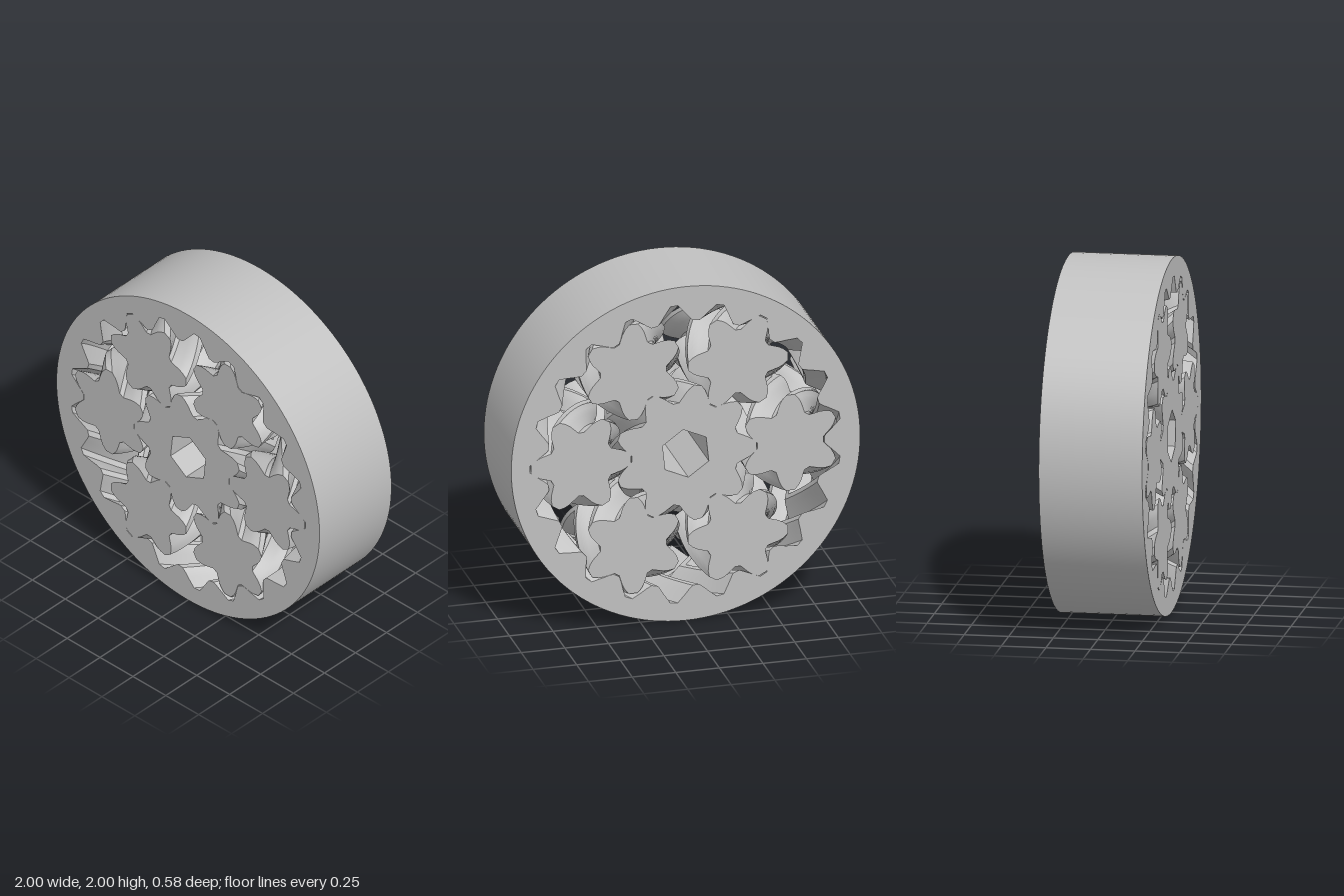
import * as THREE from 'three';
import { mergeGeometries, toCreasedNormals } from 'three/addons/utils/BufferGeometryUtils.js';

const HALF = 0.29;          // half thickness
const STEPS = 10;           // wall layers per half of the herringbone
const PLANETS = 6, ORBIT = 0.6;

// Regular polygon or circle, counter-clockwise
function polygon(radius, sides, phase = 0) {
  return Array.from({ length: sides }, (_, i) => {
    const a = phase + (i / sides) * Math.PI * 2;
    return new THREE.Vector2(radius * Math.cos(a), radius * Math.sin(a));
  });
}

// Gear outline: each tooth is [radius, offset in tooth pitches] across root, flank, tip
function gearOutline(teeth, root, pitch, tip, phase) {
  const half = [[root, 0.42], [pitch, 0.25], [(pitch + tip) / 2, 0.175], [tip, 0.08]];
  const tooth = [
    ...half.map(([r, u]) => [r, -u]),
    ...half.slice().reverse(),
  ];
  const points = [];
  for (let i = 0; i < teeth; i++) {
    for (const [r, u] of tooth) {
      const a = phase + ((i + u) / teeth) * Math.PI * 2;
      points.push(new THREE.Vector2(r * Math.cos(a), r * Math.sin(a)));
    }
  }
  return points;
}

// Side wall of an outline, twisted towards the middle plane and back again
function wall(points, twist = 0, inward = false) {
  const n = points.length, layers = twist ? STEPS * 2 : 1;
  const position = [], index = [];
  for (let k = 0; k <= layers; k++) {
    const z = -HALF + (2 * HALF * k) / layers;
    const a = twist * (1 - Math.abs(z) / HALF);
    const c = Math.cos(a), s = Math.sin(a);
    for (const p of points) position.push(p.x * c - p.y * s, p.x * s + p.y * c, z);
  }
  for (let k = 0; k < layers; k++) {
    for (let i = 0; i < n; i++) {
      const j = (i + 1) % n;
      const a = k * n + i, b = k * n + j, c = b + n, d = a + n;
      if (inward) index.push(a, c, b, a, d, c);
      else index.push(a, b, c, a, c, d);
    }
  }
  const geometry = new THREE.BufferGeometry();
  geometry.setAttribute('position', new THREE.Float32BufferAttribute(position, 3));
  geometry.setIndex(index);
  return geometry;
}

// Flat front and back faces
function caps(outline, hole) {
  const shape = new THREE.Shape(outline);
  if (hole) shape.holes.push(new THREE.Path(hole));
  return [1, -1].map((side) => {
    const geometry = new THREE.ShapeGeometry(shape);
    geometry.deleteAttribute('uv');
    geometry.deleteAttribute('normal');
    geometry.translate(0, 0, side * HALF);
    if (side < 0) geometry.setIndex(Array.from(geometry.index.array).reverse());
    return geometry;
  });
}

function solid(name, material, outer, outerTwist, hole, holeTwist) {
  const parts = [wall(outer, outerTwist), ...caps(outer, hole)];
  if (hole) parts.push(wall(hole, holeTwist, true));
  const geometry = toCreasedNormals(mergeGeometries(parts.map((g) => g.toNonIndexed())), 0.4);
  const mesh = new THREE.Mesh(geometry, material);
  mesh.name = name;
  return mesh;
}

export function createModel() {
  const model = new THREE.Group();
  model.name = 'planetaryGearBearing';
  const grey = new THREE.MeshStandardMaterial({ color: 0xc0c0c0 });
  grey.name = 'plainGrey';
  const pitchTurn = (teeth) => (Math.PI * 2) / teeth;   // one tooth of twist per half

  // Outer ring with internal teeth (tips point inwards)
  const ringTeeth = gearOutline(21, 0.892, 0.84, 0.795, Math.PI);
  model.add(solid('outerRing', grey, polygon(1, 128), 0, ringTeeth, pitchTurn(21)));

  // Sun gear with hexagonal bore, twisting against the planets
  const sun = gearOutline(9, 0.31, 0.36, 0.407, Math.PI);
  model.add(solid('sunGear', grey, sun, -pitchTurn(9), polygon(0.145, 6, 0.42), 0));

  // Planet gears; alternate ones are turned half a tooth
  for (let i = 0; i < PLANETS; i++) {
    const angle = (i / PLANETS) * Math.PI * 2;
    const outline = gearOutline(6, 0.19, 0.24, 0.287, i % 2 ? Math.PI / 6 : 0);
    const planet = solid('planetGear' + (i + 1), grey, outline, pitchTurn(6));
    planet.position.set(ORBIT * Math.cos(angle), ORBIT * Math.sin(angle), 0);
    model.add(planet);
  }

  model.position.y = 1;
  const root = new THREE.Group();
  root.name = 'gearBearing';
  root.add(model);
  return root;
}
